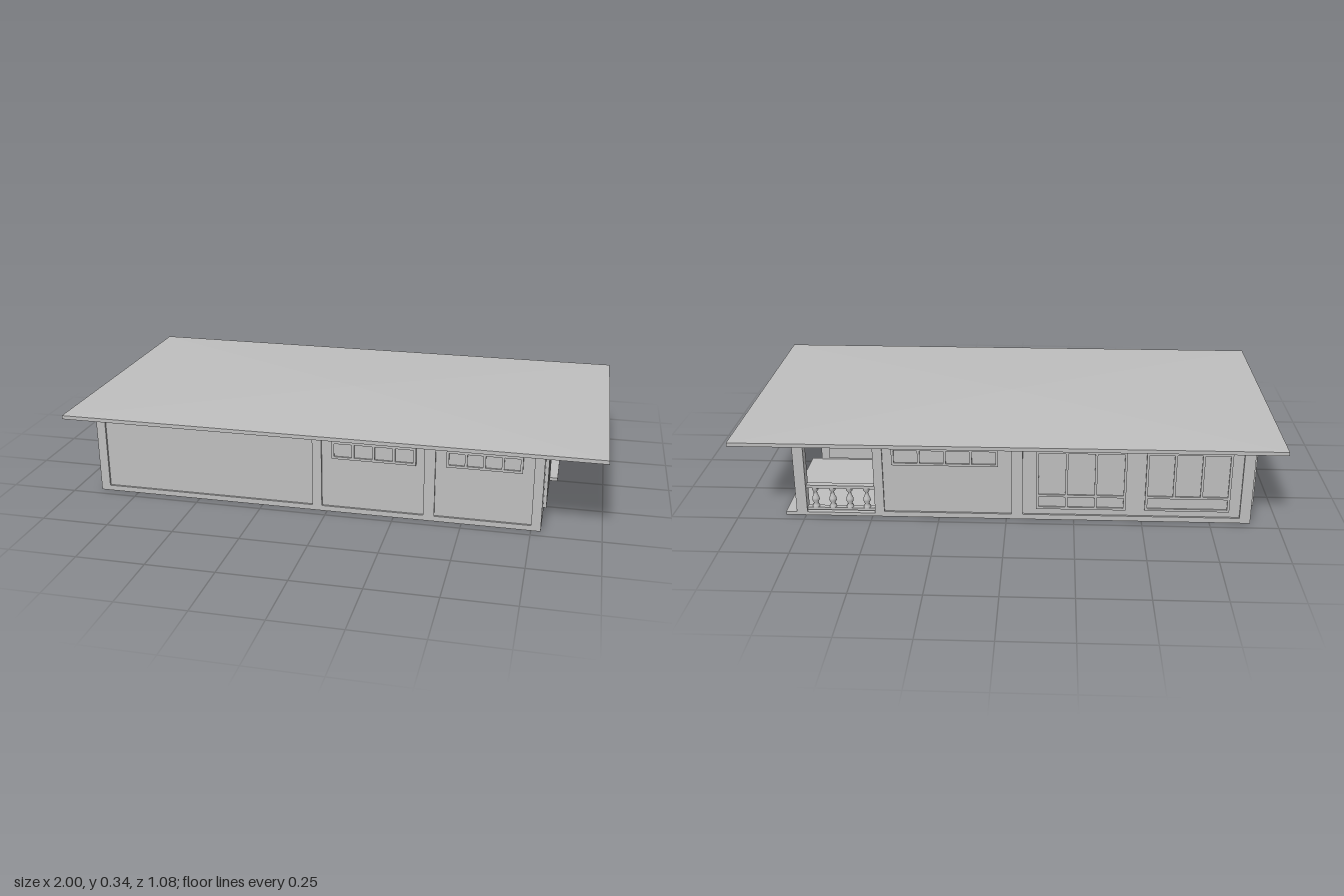
import * as THREE from 'three';

const SKIN = 0.008;   // depth of the raised wall framing
const TOP = 0.31;     // wall height

export function createModel() {
  const house = new THREE.Group();
  house.name = 'house';
  const grey = new THREE.MeshStandardMaterial({ color: 0xbebebe });
  grey.name = 'grey';

  const add = (parent, name, geometry) => {
    const mesh = new THREE.Mesh(geometry, grey);
    mesh.name = name;
    parent.add(mesh);
    return mesh;
  };
  // box given by its two extreme corners
  const box = (parent, name, x0, x1, y0, y1, z0, z1) => {
    const mesh = add(parent, name, new THREE.BoxGeometry(x1 - x0, y1 - y0, z1 - z0));
    mesh.position.set((x0 + x1) / 2, (y0 + y1) / 2, (z0 + z1) / 2);
    return mesh;
  };
  // flat plate with rectangular openings, each [u0, u1, v0, v1]
  const rect = (path, [u0, u1, v0, v1]) =>
    path.moveTo(u0, v0).lineTo(u1, v0).lineTo(u1, v1).lineTo(u0, v1).closePath();
  const plate = (outer, holes, depth) => {
    const shape = rect(new THREE.Shape(), outer);
    for (const hole of holes) shape.holes.push(rect(new THREE.Path(), hole));
    return new THREE.ExtrudeGeometry(shape, { depth, bevelEnabled: false });
  };

  // wall framing whose local x runs along the wall and z points outwards
  const wall = (name, x, z, turn, u0, u1, panels = []) => {
    const group = new THREE.Group();
    group.name = name;
    group.position.set(x, 0, z);
    group.rotation.y = turn;
    add(group, 'wallFrame', plate([u0, u1, 0, TOP],
      panels.map(([a, b]) => [a, b, 0.02, 0.3]), SKIN));
    house.add(group);
    return group;
  };

  // window frame; rows are [bottom, top, number of panes]
  const windowFrame = (parent, u0, u1, v0, v1, rows, out) => {
    const bar = 0.009;
    const holes = [];
    for (const [low, high, count] of rows) {
      const step = (u1 - u0 - bar) / count;
      for (let i = 0; i < count; i++) {
        holes.push([u0 + bar + i * step, u0 + (i + 1) * step, low, high]);
      }
    }
    add(parent, 'windowFrame', plate([u0, u1, v0, v1], holes, SKIN + out));
    const pane = add(parent, 'windowPane', new THREE.BoxGeometry(u1 - u0 - 0.004, v1 - v0 - 0.004, 0.004));
    pane.position.set((u0 + u1) / 2, (v0 + v1) / 2, Math.max(0.002, out));
  };

  // thin door leaf standing off the wall, with a knob across its middle
  const door = (parent, u) => {
    const z = SKIN + 0.035;
    box(parent, 'doorLeaf', u - 0.105, u + 0.105, 0.035, 0.235, z - 0.002, z + 0.002);
    const knob = add(parent, 'doorKnob', new THREE.CylinderGeometry(0.015, 0.015, 0.045, 16));
    knob.rotation.z = Math.PI / 2;
    knob.position.set(u, 0.14, z);
    box(parent, 'doorSpindle', u - 0.003, u + 0.003, 0.137, 0.143, 0, z);
  };

  // solid L-shaped body behind the wall framing
  const s = SKIN;
  const plan = new THREE.Shape([
    [-0.9 + s, -0.465 + s], [0.785 - s, -0.465 + s], [0.785 - s, -s],
    [0.49 - s, -s], [0.49 - s, 0.465 - s], [-0.9 + s, 0.465 - s],
  ].map(([x, y]) => new THREE.Vector2(x, y)));
  const body = new THREE.ExtrudeGeometry(plan, { depth: TOP, bevelEnabled: false });
  body.rotateX(-Math.PI / 2);
  add(house, 'body', body);

  // front wall with two high windows
  const front = wall('frontWall', 0, 0.465 - s, 0, -0.9, 0.785,
    [[-0.865, -0.055], [-0.02, 0.36], [0.4, 0.75]]);
  windowFrame(front, 0.02, 0.33, 0.215, 0.283, [[0.224, 0.274, 4]], 0.006);
  windowFrame(front, 0.44, 0.71, 0.22, 0.283, [[0.229, 0.274, 4]], 0.006);

  // back wall with one high window and two large ones
  const back = wall('backWall', 0, -0.465 + s, Math.PI, -0.49, 0.9,
    [[-0.455, 0.02], [0.06, 0.86]]);
  windowFrame(back, -0.42, -0.03, 0.215, 0.283, [[0.224, 0.274, 4]], 0.006);
  windowFrame(back, 0.11, 0.44, 0.045, 0.28, [[0.054, 0.095, 3], [0.104, 0.271, 3]], 0.002);
  windowFrame(back, 0.51, 0.82, 0.045, 0.28, [[0.054, 0.095, 1], [0.104, 0.271, 3]], 0.002);

  // left end wall with a four-pane window
  const left = wall('leftWall', 0.785 - s, 0, Math.PI / 2, -0.465, 0);
  windowFrame(left, -0.362, -0.065, 0.047, 0.268, [[0.056, 0.259, 4]], 0.012);

  // right end wall with a window and a door
  const right = wall('rightWall', -0.9 + s, 0, -Math.PI / 2, -0.465, 0.465,
    [[-0.43, -0.035], [0.005, 0.43]]);
  windowFrame(right, -0.41, -0.06, 0.045, 0.28, [[0.054, 0.271, 4]], 0.016);
  door(right, 0.225);

  // porch walls, one with a picture window and one with a door
  const porchEnd = wall('porchEndWall', 0.49 - s, 0, Math.PI / 2, 0, 0.465, [[0.038, 0.428]]);
  windowFrame(porchEnd, 0.07, 0.4, 0.05, 0.282, [[0.058, 0.1, 3], [0.115, 0.274, 1]], 0.005);
  const porchSide = wall('porchSideWall', 0, s, Math.PI, -0.785, -0.49);
  door(porchSide, -0.64);

  // porch floor, corner post and railing
  const railZ = -0.445;
  box(house, 'porchFloor', 0.48, 0.825, 0, 0.013, -0.465, 0.005);
  box(house, 'porchPost', 0.745, 0.785, 0.01, TOP, -0.465, -0.425);
  box(house, 'topRail', 0.485, 0.75, 0.108, 0.12, railZ - 0.012, railZ + 0.012);
  box(house, 'bottomRail', 0.485, 0.75, 0.018, 0.028, railZ - 0.01, railZ + 0.01);
  const profile = [
    [0.013, 0.026], [0.013, 0.036], [0.007, 0.042], [0.014, 0.056], [0.013, 0.066],
    [0.007, 0.08], [0.006, 0.09], [0.012, 0.098], [0.012, 0.11],
  ].map(([r, y]) => new THREE.Vector2(r, y));
  const baluster = new THREE.LatheGeometry(profile, 14);
  for (let i = 0; i < 4; i++) {
    add(house, 'baluster', baluster).position.set(0.522 + i * 0.064, 0, railZ);
  }

  // wide roof slab with a very shallow hipped top
  box(house, 'roofSlab', -1, 1, TOP, 0.324, -0.538, 0.538);
  const hip = new THREE.CylinderGeometry(0, Math.SQRT1_2, 0.012, 4, 1, true).toNonIndexed();
  hip.rotateY(Math.PI / 4);
  hip.scale(2, 1, 1.076);
  hip.computeVertexNormals();
  add(house, 'roofTop', hip).position.y = 0.33;

  return house;
}
